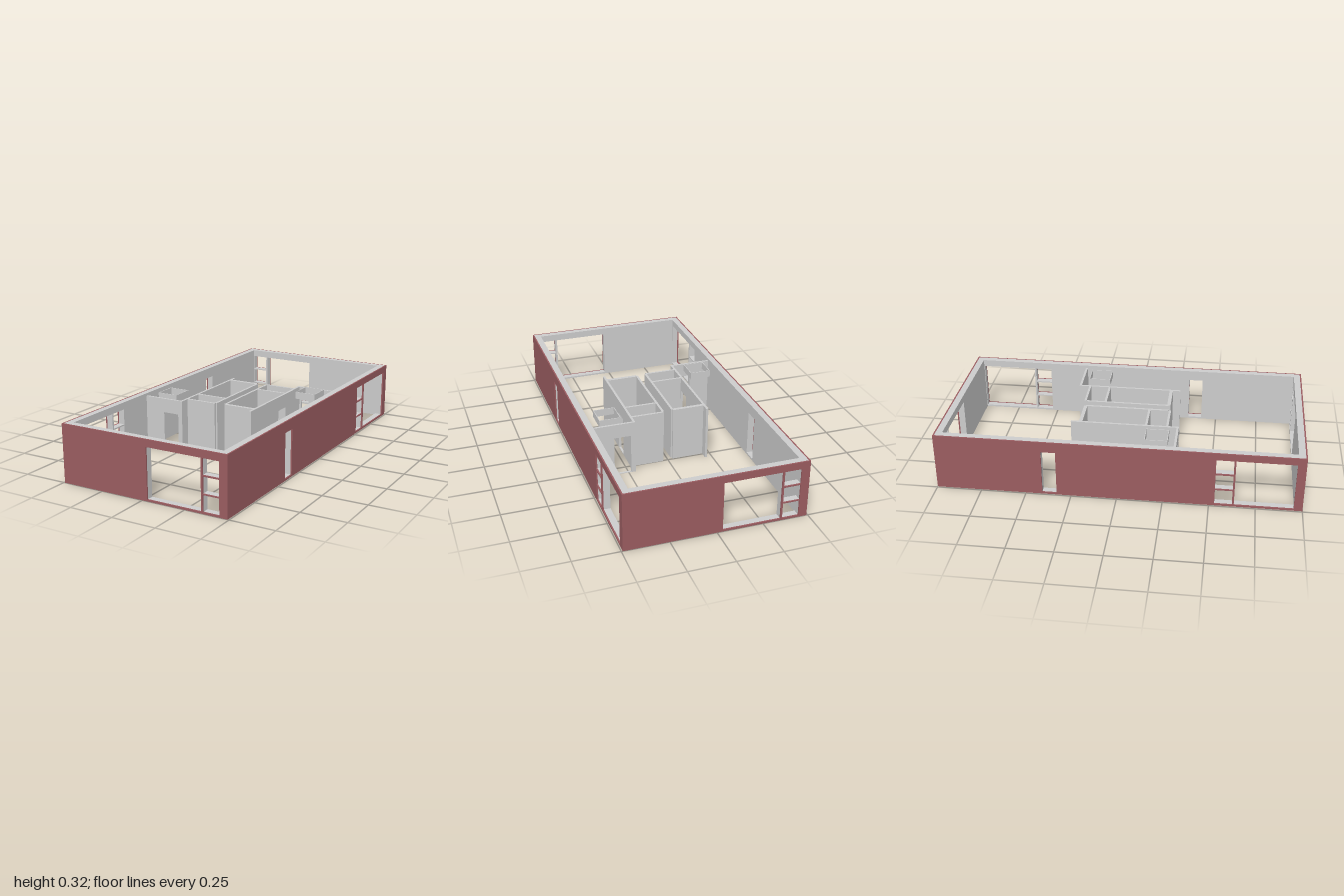
import * as THREE from 'three';

const grey = new THREE.MeshStandardMaterial({ color: 0xcccccc });
const brick = new THREE.MeshStandardMaterial({ color: 0x9a5c60 });

const H = 0.325;    // outer wall height
const PH = 0.31;    // partition height
const X = 0.493, Z = 1, SKIN = 0.008, CORE = 0.036;

// Upright slab in the xy plane from z = 0 to z = depth, pierced by [x0, x1, y0, y1] holes
function slab(u0, u1, height, depth, holes) {
  const shape = new THREE.Shape();
  shape.moveTo(u0, 0).lineTo(u1, 0).lineTo(u1, height).lineTo(u0, height).closePath();
  for (const [a, b, c, d] of holes) {
    const hole = new THREE.Path();
    hole.moveTo(a, c).lineTo(a, d).lineTo(b, d).lineTo(b, c).closePath();
    shape.holes.push(hole);
  }
  return new THREE.ExtrudeGeometry(shape, { depth, bevelEnabled: false });
}

function add(parent, geometry, material, name) {
  const mesh = new THREE.Mesh(geometry, material);
  mesh.name = name;
  parent.add(mesh);
  return mesh;
}

// Box given by its limits
function block(parent, name, x0, x1, y0, y1, z0, z1) {
  const mesh = add(parent, new THREE.BoxGeometry(x1 - x0, y1 - y0, z1 - z0), grey, name);
  mesh.position.set((x0 + x1) / 2, (y0 + y1) / 2, (z0 + z1) / 2);
}

// Three small panes stacked between narrow rails
const paneStack = (a, b) => [[0.01, 0.098], [0.104, 0.192], [0.199, 0.285]].map(([c, d]) => [a, b, c, d]);

// Half of the plan: one end wall, one side wall and one dwelling's partitions
function createHalf() {
  const half = new THREE.Group();

  // End wall: brick skin over a plain core
  const endHoles = [[0.03, 0.345, 0.01, 0.285], ...paneStack(0.355, 0.447)];
  add(half, slab(-X + SKIN, X - SKIN, H, SKIN, endHoles), brick, 'endWallBrick').position.z = Z - SKIN;
  const inner = X - SKIN - CORE;
  add(half, slab(-inner, inner, H, CORE, endHoles), grey, 'endWallCore').position.z = Z - SKIN - CORE;

  // Side wall, drawn along -z and turned to face +x
  const sideHoles = [[-0.41, -0.33, 0.01, 0.265], ...paneStack(0.53, 0.625), [0.635, 0.953, 0.01, 0.285]];
  const sideSkin = add(half, slab(-Z, Z, H, SKIN, sideHoles), brick, 'sideWallBrick');
  sideSkin.position.x = X - SKIN;
  const sideCore = add(half, slab(-Z + SKIN, Z - SKIN, H, CORE, sideHoles), grey, 'sideWallCore');
  sideCore.position.x = inner;
  sideSkin.rotation.y = sideCore.rotation.y = Math.PI / 2;

  // Partitions with doorways
  const t = 0.013;
  const longWall = add(half, slab(-0.29, 0.312, PH, t, [[0.03, 0.12, 0.003, 0.23]]), grey, 'longPartition');
  longWall.rotation.y = Math.PI / 2;
  longWall.position.x = 0.209;
  add(half, slab(0.222, inner, PH, t, [[0.235, 0.33, 0.003, 0.23]]), grey, 'crossPartition').position.z = -0.312;

  // Service core partitions
  block(half, 'corridorPartition', 0.022, 0.035, 0, PH, -0.24, 0.235);
  block(half, 'shaftBackPartition', 0.03, 0.209, 0, PH, -0.254, -0.241);
  block(half, 'shaftFrontPartition', 0.035, 0.209, 0, PH, -0.137, -0.124);
  block(half, 'bathPartition', 0.03, 0.209, 0, PH, 0.226, 0.246);

  // Thin skylight curb, open above and below
  const curb = new THREE.Group();
  curb.name = 'skylightCurb';
  const c = 0.004, y0 = 0.285;
  block(curb, 'curbSide', 0.277, 0.277 + c, y0, H, -0.264, -0.137);
  block(curb, 'curbSide', 0.398 - c, 0.398, y0, H, -0.264, -0.137);
  block(curb, 'curbEnd', 0.277 + c, 0.398 - c, y0, H, -0.264, -0.264 + c);
  block(curb, 'curbEnd', 0.277 + c, 0.398 - c, y0, H, -0.137 - c, -0.137);
  half.add(curb);
  return half;
}

export function createModel() {
  const model = new THREE.Group();
  model.name = 'twinDwelling';
  // The plan repeats after a half turn
  ['frontHalf', 'backHalf'].forEach((name, i) => {
    const half = createHalf();
    half.name = name;
    half.rotation.y = i * Math.PI;
    model.add(half);
  });
  return model;
}
